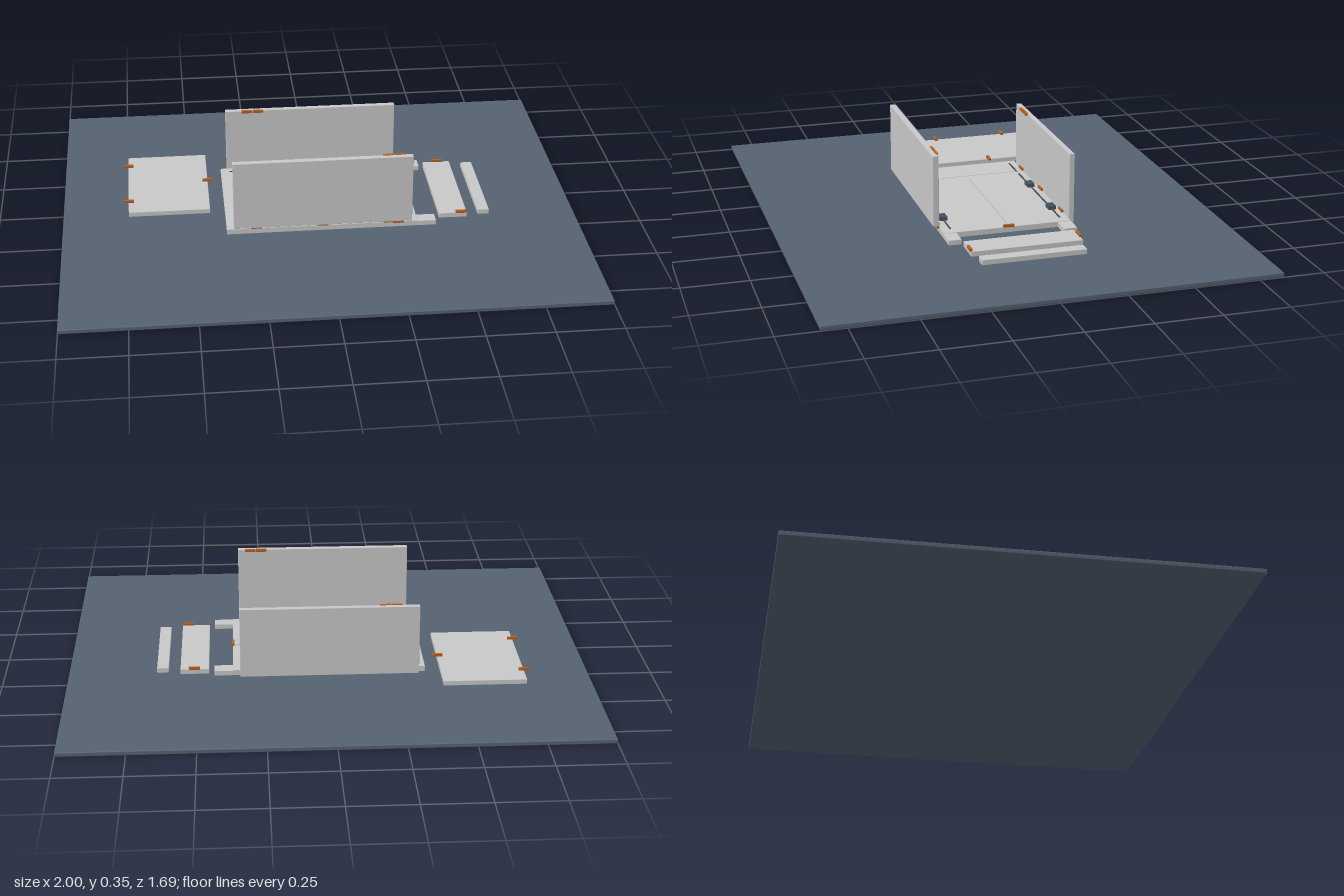
import * as THREE from 'three';
import { RoundedBoxGeometry } from 'three/addons/geometries/RoundedBoxGeometry.js';

const mat = (name, color) => {
  const m = new THREE.MeshStandardMaterial({ color });
  m.name = name;
  return m;
};

export function createModel() {
  const group = new THREE.Group();
  const slate = mat('slate', 0x566272);
  const grey = mat('light grey', 0xc8c8c8);
  const seamGrey = mat('seam grey', 0xb4b4b4);
  const orange = mat('orange', 0xb8601f);
  const dark = mat('dark slate', 0x46525f);

  // Box given by its limits on each axis, with an optional small edge radius
  const box = (name, material, [x0, x1], [y0, y1], [z0, z1], r = 0) => {
    const s = [x1 - x0, y1 - y0, z1 - z0];
    const geo = r ? new RoundedBoxGeometry(...s, 1, r) : new THREE.BoxGeometry(...s);
    const mesh = new THREE.Mesh(geo, material);
    mesh.name = name;
    mesh.position.set((x0 + x1) / 2, (y0 + y1) / 2, (z0 + z1) / 2);
    group.add(mesh);
  };

  // Ground board
  box('baseBoard', slate, [-1, 1], [0, 0.018], [-0.845, 0.845], 0.004);

  // Central deck with two end tongues
  box('deck', grey, [-0.37, 0.368], [0.028, 0.051], [-0.252, 0.25], 0.002);
  box('backTongue', grey, [0.365, 0.44], [0.028, 0.049], [-0.253, -0.2], 0.002);
  box('frontTongue', grey, [0.365, 0.44], [0.028, 0.049], [0.2, 0.25], 0.002);

  // Fine seams on the deck top
  box('crossSeam', seamGrey, [-0.236, -0.232], [0.05, 0.0515], [-0.25, 0.248]);
  box('longSeam', seamGrey, [-0.2, 0.365], [0.05, 0.0515], [-0.01, -0.006]);

  // Guide rails and the clips that sit on them
  for (const z of [-0.22, 0.215]) {
    box('guideRail', dark, [-0.335, -0.23], [0.05, 0.054], [z - 0.003, z + 0.003]);
    box('guideRail', dark, [-0.2, 0.33], [0.05, 0.054], [z - 0.003, z + 0.003]);
    for (const x of [-0.053, 0.217])
      box('clip', dark, [x - 0.022, x + 0.022], [0.05, 0.066], [z - 0.015, z + 0.015], 0.002);
  }

  // Upright walls, the front one lifted off the deck
  box('frontWall', grey, [-0.345, 0.341], [0.07, 0.348], [0.26, 0.283], 0.002);
  box('backWall', grey, [-0.345, 0.341], [0.03, 0.308], [-0.273, -0.252], 0.002);

  // Loose panels lying beside the deck
  box('sidePanel', grey, [-0.745, -0.427], [0.028, 0.048], [-0.388, 0.075], 0.002);
  box('endPanel', grey, [0.46, 0.57], [0.028, 0.049], [-0.232, 0.2], 0.002);
  box('endStrip', grey, [0.615, 0.66], [0.028, 0.049], [-0.216, 0.185], 0.002);

  // Tabs: centre x, y, z, with the long side along x or z
  const tab = (x, y, z, alongZ = false) => {
    const w = alongZ ? 0.005 : 0.021, d = alongZ ? 0.021 : 0.005;
    box('tab', orange, [x - w, x + w], [y - 0.005, y + 0.005], [z - d, z + d]);
  };
  for (const x of [-0.258, 0, 0.256]) {
    tab(x, 0.055, 0.248);
    tab(x, 0.055, -0.249);
  }
  tab(0.367, 0.055, -0.004, true);

  // Tabs on the inner wall faces
  tab(-0.258, 0.068, 0.257);
  tab(-0.213, 0.072, 0.257);
  tab(0.292, 0.055, 0.256);
  for (const x of [0.247, 0.292]) tab(x, 0.345, 0.26);
  for (const x of [-0.258, -0.213]) tab(x, 0.305, -0.251);

  // Tabs on the loose panels
  tab(-0.745, 0.053, -0.305);
  tab(-0.745, 0.053, -0.008);
  tab(-0.426, 0.053, -0.157);
  tab(0.517, 0.053, -0.232);
  tab(0.546, 0.053, 0.199);

  return group;
}
